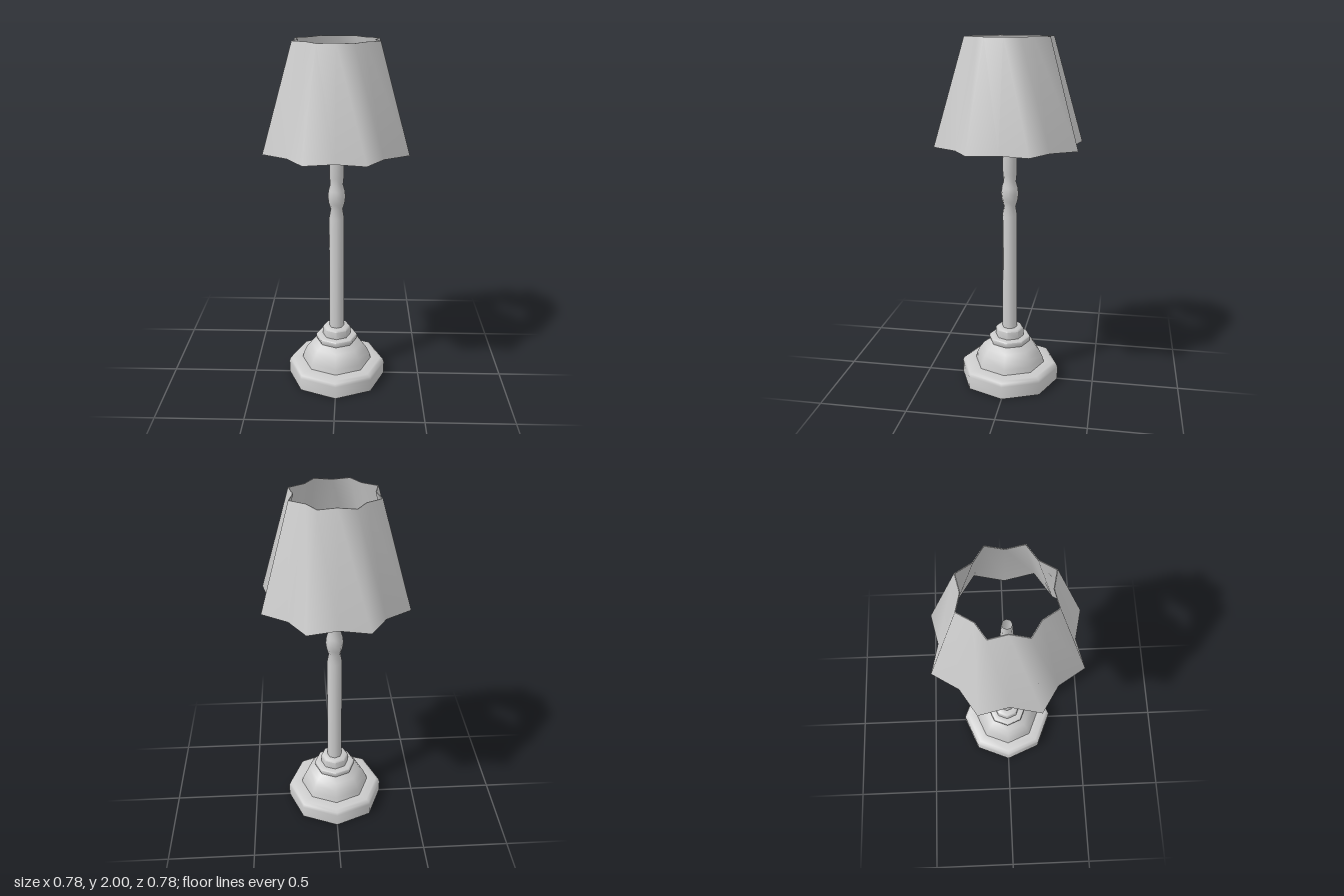
import * as THREE from 'three';
import { toCreasedNormals, mergeGeometries } from 'three/addons/utils/BufferGeometryUtils.js';

const grey = new THREE.MeshStandardMaterial({ color: 0xcccccc, side: THREE.DoubleSide });
grey.name = 'light grey';

const toPoints = (list) => list.map(([r, y]) => new THREE.Vector2(r, y));

// Eight-sided turned part, open at both ends, with sharp horizontal steps
function turned(name, profile) {
  const geometry = toCreasedNormals(new THREE.LatheGeometry(toPoints(profile), 8), 0.95);
  const mesh = new THREE.Mesh(geometry, grey);
  mesh.name = name;
  return mesh;
}

// Eight-pointed fluted band: points lie between the axes, valleys on them
function fluted(profile) {
  const geometry = new THREE.LatheGeometry(toPoints(profile), 16);
  const position = geometry.attributes.position;
  const valley = 0.837;
  for (let i = 0; i < position.count; i++) {
    const column = Math.floor(i / profile.length);
    if (column % 2 === 0) {
      position.setX(i, position.getX(i) * valley);
      position.setZ(i, position.getZ(i) * valley);
    }
  }
  return toCreasedNormals(geometry, Math.PI);
}

export function createModel() {
  const lamp = new THREE.Group();
  lamp.name = 'tableLamp';

  // Hollow foot with rounded upper edge
  lamp.add(turned('foot', [
    [0.29, 0], [0.29, 0.075], [0.284, 0.094], [0.265, 0.105], [0.207, 0.105],
  ]));

  // Dome and collar
  lamp.add(turned('dome', [
    [0.207, 0.105], [0.2, 0.135], [0.182, 0.175], [0.155, 0.21], [0.118, 0.235],
    [0.124, 0.25], [0.122, 0.265], [0.115, 0.27], [0.083, 0.27],
  ]));
  lamp.add(turned('collar', [
    [0.083, 0.27], [0.083, 0.315], [0.075, 0.325], [0.043, 0.325],
  ]));

  // Hollow stem with a bead, tapering inside the shade
  lamp.add(turned('stem', [
    [0.043, 0.325], [0.043, 1.01], [0.034, 1.065], [0.045, 1.1], [0.05, 1.14],
    [0.046, 1.175], [0.036, 1.21], [0.04, 1.25], [0.04, 1.42], [0.027, 1.64],
  ]));

  // Thin-walled shade: outer wall, top rim, inner wall, bottom rim
  const corners = [[0.422, 1.42], [0.247, 2], [0.242, 2], [0.417, 1.42]];
  const bands = corners.map((corner, i) => fluted([corner, corners[(i + 1) % 4]]));
  const shade = new THREE.Mesh(mergeGeometries(bands), grey);
  shade.name = 'shade';
  lamp.add(shade);

  return lamp;
}
